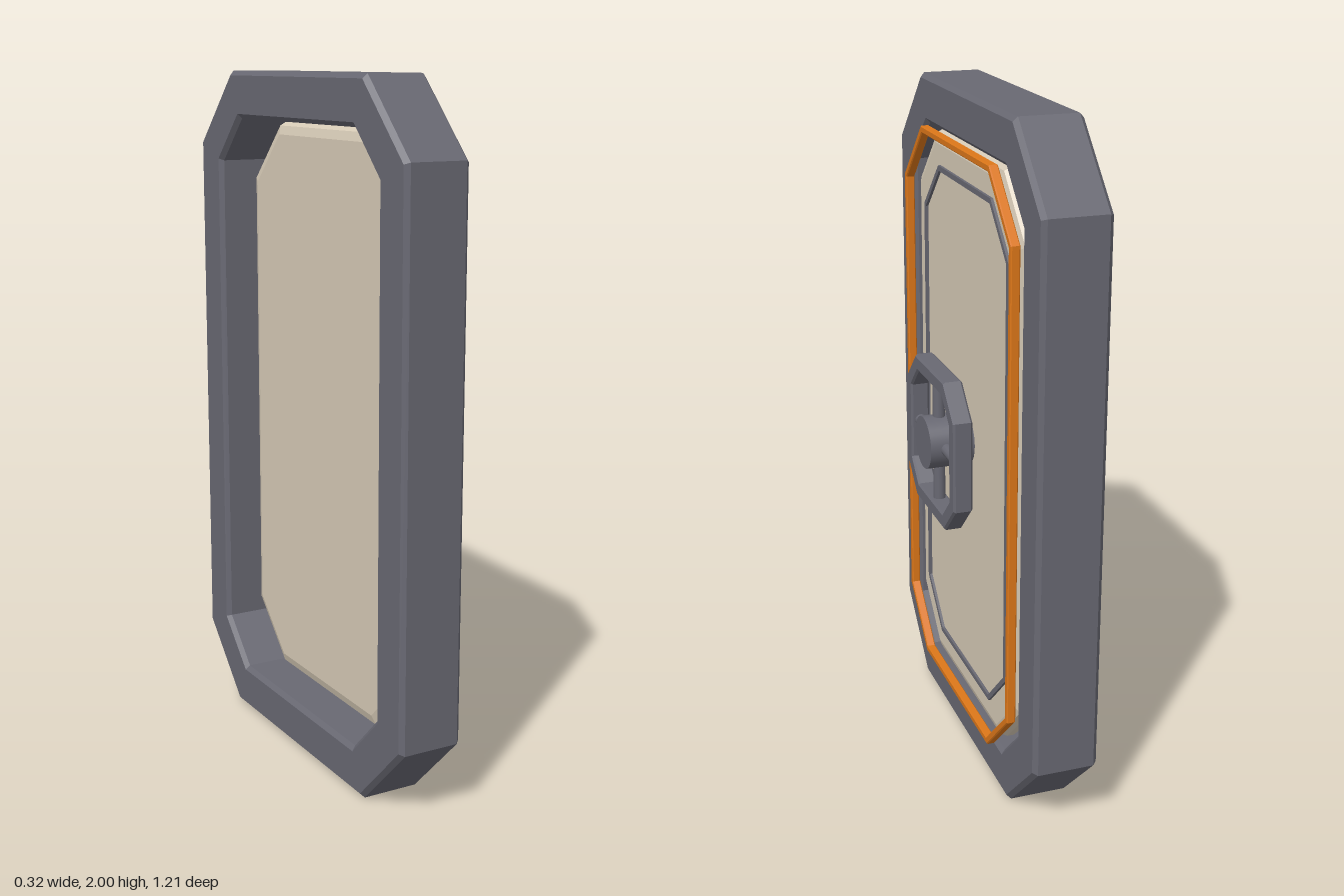
import * as THREE from 'three';

const CENTER_Y = 1;

// Octagon outline: half width, half height and 45-degree corner cut
function octagon(w, h, c, Type = THREE.Shape) {
  const pts = [
    [w - c, -h], [w, -h + c], [w, h - c], [w - c, h],
    [-w + c, h], [-w, h - c], [-w, -h + c], [-w + c, -h],
  ].map(([x, y]) => new THREE.Vector2(x, y));
  return new Type(pts);
}

// Plate or ring lying between x0 and x1, facing +x, with bevelled rims
function plate(name, material, outer, inner, x0, x1, bevel = 0, size = bevel, segments = 1) {
  const shape = octagon(...outer);
  if (inner) shape.holes.push(octagon(...inner, THREE.Path));
  const geometry = new THREE.ExtrudeGeometry(shape, {
    depth: x1 - x0 - 2 * bevel,
    bevelEnabled: bevel > 0,
    bevelThickness: bevel,
    bevelSize: size,
    bevelOffset: -size,
    bevelSegments: segments,
  });
  geometry.translate(0, 0, x0 + bevel);
  geometry.rotateY(Math.PI / 2);
  const mesh = new THREE.Mesh(geometry, material);
  mesh.name = name;
  mesh.position.y = CENTER_Y;
  return mesh;
}

export function createModel() {
  const steel = new THREE.MeshStandardMaterial({ name: 'steel grey', color: 0x686872 });
  const cream = new THREE.MeshStandardMaterial({ name: 'cream panel', color: 0xd6cab6 });
  const orange = new THREE.MeshStandardMaterial({ name: 'orange seal', color: 0xdd7719 });

  const model = new THREE.Group();
  model.name = 'bulkheadDoor';

  // Door frame, panel, floating seal and thin inset trim
  model.add(
    plate('frame', steel, [0.607, 1, 0.212], [0.47, 0.863, 0.13], -0.158, 0.034, 0.013),
    plate('panel', cream, [0.46, 0.853, 0.17], null, -0.055, 0.026, 0.03, 0.036, 2),
    plate('seal', orange, [0.47, 0.863, 0.172], [0.45, 0.843, 0.16], 0.038, 0.064, 0.003),
    plate('panelTrim', steel, [0.367, 0.759, 0.14], [0.352, 0.744, 0.131], 0.02, 0.034),
  );

  // Locking wheel
  const wheel = new THREE.Group();
  wheel.name = 'lockingWheel';
  wheel.add(plate('wheelRim', steel, [0.226, 0.226, 0.092], [0.18, 0.18, 0.065], 0.082, 0.139, 0.006));

  const hub = new THREE.Mesh(new THREE.CylinderGeometry(0.078, 0.078, 0.134, 32), steel);
  hub.name = 'wheelHub';
  hub.rotation.z = -Math.PI / 2;
  hub.position.set(0.091, CENTER_Y, 0);
  wheel.add(hub);

  // Two crossing bars form the four spokes
  for (const angle of [0, Math.PI / 2]) {
    const spoke = new THREE.Mesh(new THREE.CylinderGeometry(0.018, 0.018, 0.38, 12), steel);
    spoke.name = 'wheelSpoke';
    spoke.rotation.x = angle;
    spoke.position.set(0.11, CENTER_Y, 0);
    wheel.add(spoke);
  }
  model.add(wheel);
  return model;
}
